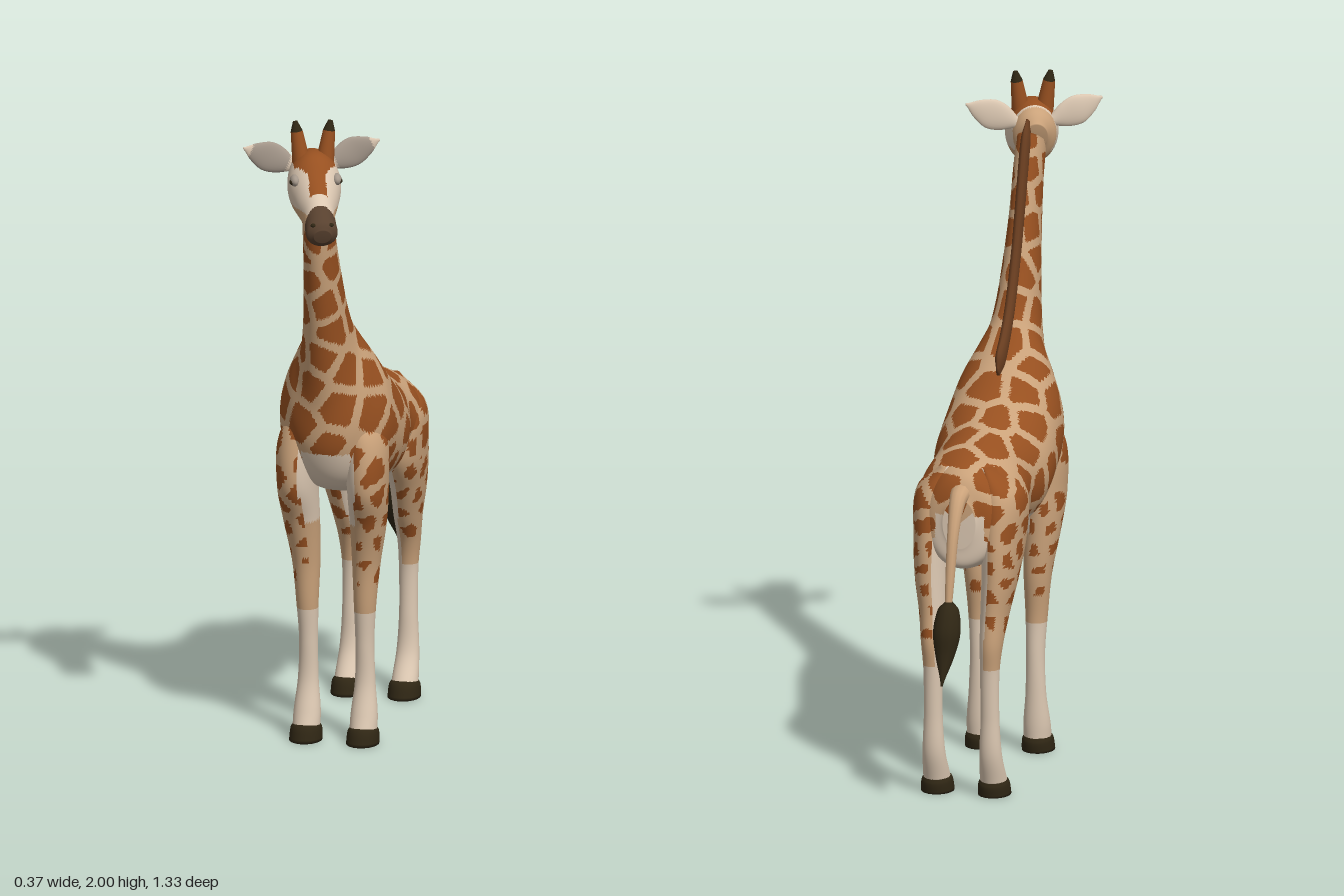
import * as THREE from 'three';

const mat = (name, color) => Object.assign(new THREE.MeshStandardMaterial({ color }), { name });
const MATS = [
  mat('patch brown', 0x975020), mat('coat tan', 0xcaa27a), mat('cream', 0xdcc8b2),
  mat('hoof dark', 0x2f2614), mat('muzzle brown', 0x58412f), mat('mane brown', 0x6a3e20),
  mat('ear grey', 0xa5988b),
];
const BROWN = 0, TAN = 1, CREAM = 2, DARK = 3, MUZZLE = 4, MANE = 5, GREY = 6;

// small seeded random
let state = 7;
const random = () => (state = (state * 16807) % 2147483647) / 2147483647;

// Smooth skin through oval sections [x, topY, topZ, bottomY, bottomZ, halfWidth], closed at both ends
function loft(sections, rows, sides) {
  const curve = f => new THREE.CatmullRomCurve3(sections.map(f));
  const top = curve(s => new THREE.Vector3(s[0], s[1], s[2]));
  const bottom = curve(s => new THREE.Vector3(s[0], s[3], s[4]));
  const points = [], index = [];
  for (let i = -1; i <= rows + 1; i++) {
    const t = Math.min(Math.max(i / rows, 0), 1), open = i >= 0 && i <= rows ? 1 : 0;
    const a = top.getPoint(t), b = bottom.getPoint(t);
    // half width follows the sections with eased steps
    const k = Math.min(Math.floor(t * (sections.length - 1)), sections.length - 2);
    const f = t * (sections.length - 1) - k;
    const at = n => sections[Math.min(Math.max(n, 0), sections.length - 1)][5];
    const m0 = (at(k + 1) - at(k - 1)) / 2, m1 = (at(k + 2) - at(k)) / 2;
    const w = at(k) * (1 + 2 * f) * (1 - f) ** 2 + m0 * f * (1 - f) ** 2
      + at(k + 1) * f * f * (3 - 2 * f) + m1 * f * f * (f - 1);
    const c = a.clone().add(b).multiplyScalar(0.5), u = a.sub(b).multiplyScalar(0.5 * open);
    for (let j = 0; j < sides; j++) {
      const q = (j / sides) * Math.PI * 2;
      points.push(c.x + Math.sin(q) * w * open, c.y + u.y * Math.cos(q), c.z + u.z * Math.cos(q));
    }
  }
  for (let i = 0; i < rows + 2; i++) {
    for (let j = 0; j < sides; j++) {
      const n = (j + 1) % sides, a = i * sides + j, b = i * sides + n, c = a + sides, d = b + sides;
      if (i > 0) index.push(a, c, b);
      if (i <= rows) index.push(b, c, d);
    }
  }
  const geo = new THREE.BufferGeometry();
  geo.setAttribute('position', new THREE.Float32BufferAttribute(points, 3));
  geo.setIndex(index);
  geo.computeVertexNormals();
  return geo;
}

// Sort faces into one material group per colour
function paint(geo, rule) {
  const pos = geo.attributes.position, idx = geo.index.array, bins = MATS.map(() => []);
  const tri = new THREE.Triangle(), p = new THREE.Vector3(), n = new THREE.Vector3();
  for (let i = 0; i < idx.length; i += 3) {
    tri.setFromAttributeAndIndices(pos, idx[i], idx[i + 1], idx[i + 2]);
    tri.getMidpoint(p);
    tri.getNormal(n);
    bins[rule(p, n)].push(idx[i], idx[i + 1], idx[i + 2]);
  }
  geo.setIndex(bins.flat());
  let start = 0;
  bins.forEach((bin, k) => {
    if (bin.length) geo.addGroup(start, bin.length, k);
    start += bin.length;
  });
  return geo;
}

// Coat patches: rounded cells around evenly scattered centres, parted by a gap
const seeds = [];
const spacing = y => (y > 1 ? 0.105 - 0.055 * (y - 1) : y < 0.75 ? 0.055 : 0.055 + 0.2 * (y - 0.75));
function scatter(geo, minY) {
  const pos = geo.attributes.position;
  for (let k = 0; k < 9000; k++) {
    const p = new THREE.Vector3().fromBufferAttribute(pos, Math.floor(random() * pos.count));
    if (p.y > minY && seeds.every(s => s.distanceTo(p) > spacing(p.y))) seeds.push(p);
  }
}
function isPatch(p) {
  let s1, s2, d1 = 9, d2 = 9;
  for (const s of seeds) {
    const d = s.distanceToSquared(p);
    if (d < d1) { d2 = d1; s2 = s1; d1 = d; s1 = s; } else if (d < d2) { d2 = d; s2 = s; }
  }
  const edge = (d2 - d1) / (2 * s1.distanceTo(s2));
  const gap = p.y > 1.25 ? 0.0125 : 0.0145 + Math.max(0, 0.78 - p.y) * 0.025;
  return edge > gap && Math.sqrt(d1) < spacing(p.y) * 0.66;
}

const BODY = [
  [0, 0.92, -0.462, 0.77, -0.462, 0.05], [0, 0.985, -0.425, 0.71, -0.45, 0.105],
  [0, 1.035, -0.32, 0.70, -0.33, 0.162], [0, 1.07, -0.2, 0.745, -0.2, 0.152],
  [0, 1.12, -0.08, 0.725, -0.08, 0.177], [0, 1.185, 0.0, 0.76, 0.08, 0.176],
  [0, 1.245, 0.06, 0.81, 0.2, 0.165], [0, 1.295, 0.1, 0.92, 0.262, 0.128],
  [0, 1.34, 0.13, 1.08, 0.28, 0.088], [0, 1.4, 0.158, 1.24, 0.308, 0.068],
  [0, 1.5, 0.2, 1.41, 0.343, 0.056], [0, 1.62, 0.245, 1.55, 0.372, 0.048],
  [0, 1.74, 0.285, 1.68, 0.398, 0.045], [0, 1.84, 0.32, 1.76, 0.43, 0.044],
];
// Leg rows: y, z, z radius, x, x radius
const FRONT_LEG = [
  [1.08, 0.13, 0.05, 0.06, 0.02], [0.95, 0.145, 0.088, 0.1, 0.06], [0.8, 0.148, 0.092, 0.107, 0.06],
  [0.68, 0.122, 0.068, 0.102, 0.054], [0.55, 0.105, 0.05, 0.092, 0.042], [0.42, 0.106, 0.037, 0.088, 0.033],
  [0.3, 0.1, 0.031, 0.086, 0.028], [0.18, 0.1, 0.029, 0.087, 0.031], [0.09, 0.112, 0.04, 0.087, 0.04],
  [0.04, 0.122, 0.047, 0.087, 0.041],
];
const BACK_LEG = [
  [1.0, -0.32, 0.07, 0.06, 0.025], [0.92, -0.315, 0.115, 0.097, 0.065], [0.78, -0.33, 0.127, 0.104, 0.062],
  [0.66, -0.37, 0.093, 0.102, 0.052], [0.56, -0.398, 0.066, 0.094, 0.042], [0.47, -0.426, 0.045, 0.09, 0.034],
  [0.39, -0.432, 0.031, 0.087, 0.029], [0.25, -0.43, 0.027, 0.087, 0.028], [0.13, -0.422, 0.032, 0.087, 0.034],
  [0.04, -0.385, 0.047, 0.087, 0.04],
];
const HEAD = [
  [0, 1.86, -0.06, 1.78, -0.03, 0.035], [0, 1.893, -0.03, 1.735, 0.0, 0.063],
  [0, 1.912, 0.03, 1.715, 0.05, 0.076], [0, 1.908, 0.09, 1.705, 0.08, 0.079],
  [0, 1.86, 0.15, 1.70, 0.12, 0.066], [0, 1.81, 0.2, 1.69, 0.17, 0.049],
  [0, 1.778, 0.25, 1.685, 0.22, 0.047], [0, 1.757, 0.283, 1.68, 0.265, 0.046],
  [0, 1.735, 0.295, 1.695, 0.285, 0.026],
];
const MANE_SECTIONS = [
  [0, 1.2, -0.02, 1.17, 0.0, 0.005], [0, 1.245, -0.01, 1.19, 0.04, 0.014],
  [0, 1.29, 0.045, 1.25, 0.09, 0.015], [0, 1.37, 0.11, 1.34, 0.15, 0.015],
  [0, 1.53, 0.185, 1.5, 0.23, 0.015], [0, 1.7, 0.24, 1.67, 0.29, 0.015],
  [0, 1.84, 0.29, 1.8, 0.34, 0.014], [0, 1.88, 0.325, 1.85, 0.36, 0.006],
];
const TAIL = [
  [0, 0.91, -0.43, 0.965, -0.435, 0.032], [0, 0.9, -0.465, 0.94, -0.49, 0.025],
  [0, 0.83, -0.51, 0.845, -0.545, 0.018], [0, 0.7, -0.55, 0.705, -0.58, 0.014],
  [0, 0.6, -0.575, 0.6, -0.597, 0.01],
];
const TUFT = [
  [0, 0.64, -0.565, 0.64, -0.59, 0.01], [0, 0.61, -0.55, 0.62, -0.615, 0.032],
  [0, 0.54, -0.56, 0.56, -0.645, 0.042], [0, 0.47, -0.6, 0.49, -0.65, 0.028],
  [0, 0.4, -0.657, 0.4, -0.663, 0.003],
];
const EAR = [
  [0, 0.01, 0.012, 0.01, -0.012, 0.014], [0, -0.04, 0.01, -0.04, -0.018, 0.038],
  [0, -0.085, 0.006, -0.085, -0.018, 0.045], [0, -0.13, 0.006, -0.13, -0.01, 0.027],
  [0, -0.165, 0.004, -0.165, 0, 0.003],
];

export function createModel() {
  const model = new THREE.Group();
  model.name = 'giraffe';
  const add = (parent, name, geo, material, x = 0, y = 0, z = 0) => {
    const mesh = new THREE.Mesh(geo, material);
    mesh.name = name;
    mesh.position.set(x, y, z);
    parent.add(mesh);
    return mesh;
  };

  // trunk, neck and legs share one set of patches
  const body = loft(BODY, 230, 110);
  scatter(body, 0.76);
  const legs = [];
  for (const [name, rows] of [['FrontLeg', FRONT_LEG], ['BackLeg', BACK_LEG]]) {
    for (const side of [1, -1]) {
      const geo = loft(rows.map(([y, z, rz, x, rx]) => [x * side, y, z + rz, y, z - rz, rx]), 110, 40);
      scatter(geo, 0.5);
      legs.push([(side > 0 ? 'left' : 'right') + name, geo, side, rows[rows.length - 1][1]]);
    }
  }
  add(model, 'bodyAndNeck', paint(body, (p, n) => {
    if (p.y < 0.85 && n.y < -0.8) return CREAM;
    if (p.y < 0.795 && p.z < 0.1) return CREAM;
    if (p.z > 0.1 && p.y < 0.92 && Math.abs(p.x) < 0.075) return CREAM;
    if (p.z < -0.43 && p.y < 0.87 && Math.abs(p.x) < 0.075) return CREAM;
    return isPatch(p) ? BROWN : TAN;
  }), MATS);
  for (const [name, geo, side, footZ] of legs) {
    add(model, name, paint(geo, (p, n) => {
      if (p.y < 0.4) return CREAM;
      if (n.x * side < -0.5) return p.y > 0.68 || footZ < 0 ? CREAM : TAN;
      return p.y > 0.49 && isPatch(p) ? BROWN : TAN;
    }), MATS);
    const x = 0.087 * side, z = footZ;
    add(model, name + 'Hoof', loft([
      [x, 0.058, z + 0.03, 0.045, z - 0.048, 0.037], [x, 0.045, z + 0.052, 0.03, z - 0.053, 0.046],
      [x, 0, z + 0.068, 0, z - 0.05, 0.049]], 10, 20), MATS[DARK]);
  }

  add(model, 'mane', loft(MANE_SECTIONS, 40, 12), MATS[MANE]);
  add(model, 'tail', loft(TAIL, 24, 12), MATS[TAN]);
  add(model, 'tailTuft', loft(TUFT, 20, 12), MATS[DARK]);

  // head, turned a little to its left
  const head = new THREE.Group();
  head.name = 'head';
  head.position.set(-0.005, 0, 0.39);
  head.rotation.y = 0.36;
  model.add(head);
  add(head, 'skull', paint(loft(HEAD, 80, 64), (p, n) => {
    if (p.z > 0.24 - 0.25 * Math.max(0, p.y - 1.73)) return MUZZLE;
    // brown crown narrowing to a stripe down the nose
    const stripe = p.z < 0.09 ? 0.06 : Math.max(0.026, 0.06 - (p.z - 0.09) * 0.7);
    if (n.y > 0.25 && p.z > 0 && p.z < 0.19 && Math.abs(p.x) < stripe) return BROWN;
    return p.y < 1.765 || p.z < -0.01 ? TAN : CREAM;
  }), MATS);
  const ears = new THREE.Group();
  ears.name = 'ears';
  ears.rotation.y = 0.1;
  head.add(ears);
  for (const side of [1, -1]) {
    const label = side > 0 ? 'left' : 'right';
    const ear = add(ears, label + 'Ear', paint(loft(EAR, 24, 24), (p, n) =>
      (n.z > 0.3 && p.y < -0.02 && p.y > -0.14 ? GREY : CREAM)), MATS, 0.055 * side, 1.855, 0.0);
    ear.rotation.z = side * 1.97;
    // horns lean outward to dark tips
    const horn = new THREE.Group();
    horn.name = label + 'Horn';
    horn.position.set(0.037 * side, 1.89, 0.045);
    horn.rotation.set(-0.08, 0, -0.14 * side);
    head.add(horn);
    add(horn, 'hornStem', new THREE.CylinderGeometry(0.018, 0.027, 0.092, 14), MATS[BROWN], 0, 0.036, 0);
    add(horn, 'hornTip', new THREE.CylinderGeometry(0.007, 0.018, 0.03, 14), MATS[DARK], 0, 0.097, 0);
    const lid = add(head, label + 'EyeLid', new THREE.SphereGeometry(0.022, 16, 12), MATS[GREY], 0.062 * side, 1.84, 0.112);
    lid.scale.set(0.7, 0.8, 1.2);
    const eye = add(head, label + 'Eye', new THREE.SphereGeometry(0.013, 16, 12), MATS[DARK], 0.069 * side, 1.837, 0.118);
    eye.scale.set(0.8, 0.7, 1.1);
    const nostril = add(head, label + 'Nostril', new THREE.SphereGeometry(0.009, 10, 8), MATS[DARK], 0.026 * side, 1.748, 0.278);
    nostril.scale.set(1, 0.7, 1);
  }
  return model;
}
